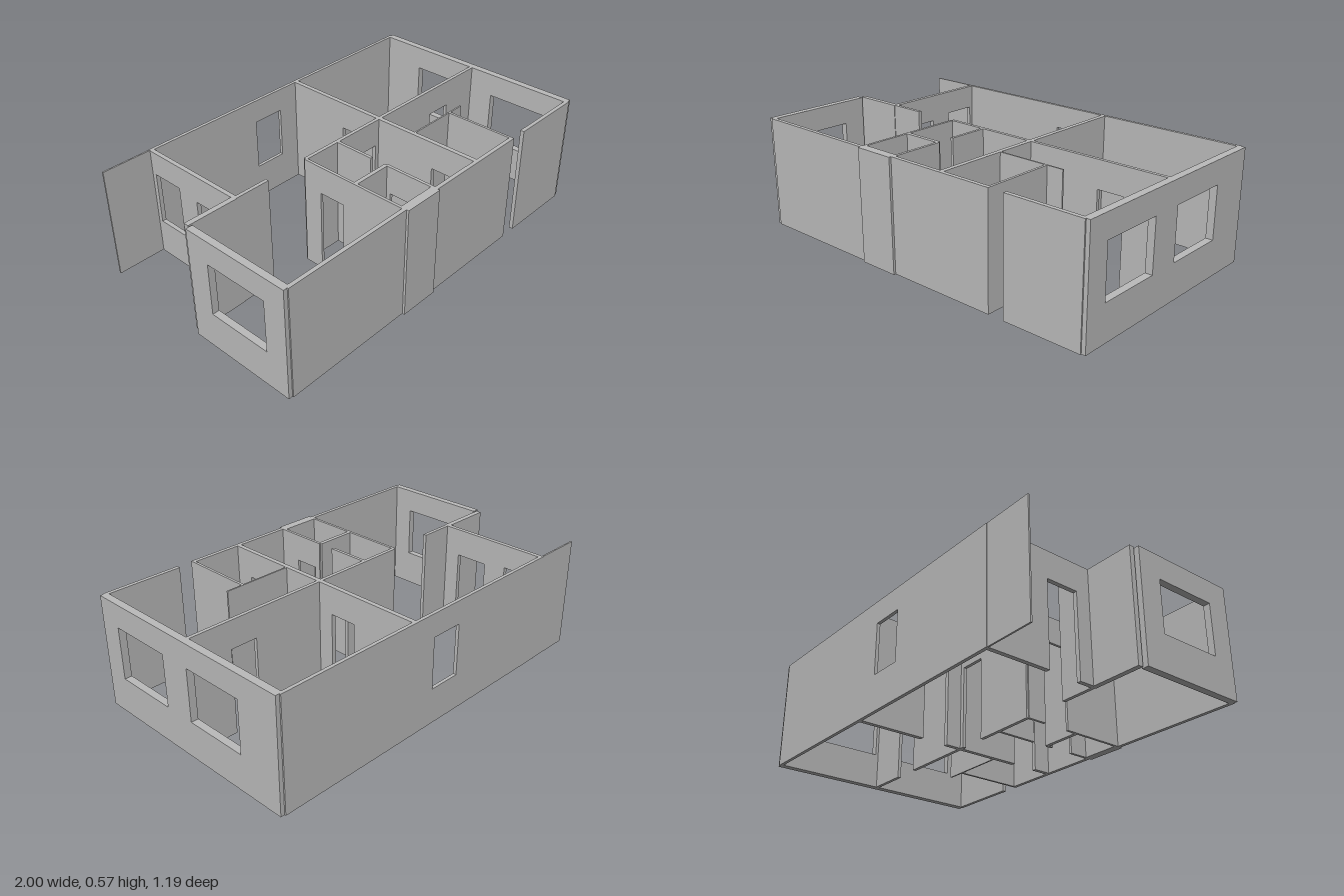
import * as THREE from 'three';

const HEIGHT = 0.57, DOOR = 0.43, SILL = 0.185, HEAD = 0.45;
const door = (a, b) => ({ a, b, y0: 0, y1: DOOR });
const window_ = (a, b) => ({ a, b, y0: SILL, y1: HEAD });

// Wall elevation from a to b: doors notch the bottom edge, windows are holes
function wallShape(a, b, openings) {
  const shape = new THREE.Shape();
  shape.moveTo(a, 0);
  for (const o of openings.filter((o) => o.y0 === 0).sort((p, q) => p.a - q.a)) {
    shape.lineTo(o.a, 0);
    shape.lineTo(o.a, o.y1);
    shape.lineTo(o.b, o.y1);
    shape.lineTo(o.b, 0);
  }
  shape.lineTo(b, 0);
  shape.lineTo(b, HEIGHT);
  shape.lineTo(a, HEIGHT);
  shape.closePath();
  for (const o of openings.filter((o) => o.y0 > 0)) {
    const hole = new THREE.Path();
    hole.moveTo(o.a, o.y0);
    hole.lineTo(o.a, o.y1);
    hole.lineTo(o.b, o.y1);
    hole.lineTo(o.b, o.y0);
    hole.closePath();
    shape.holes.push(hole);
  }
  return shape;
}

export function createModel() {
  const house = new THREE.Group();
  house.name = 'floorPlanWalls';
  const plaster = new THREE.MeshStandardMaterial({ color: 0xbbbbbb });
  plaster.name = 'grey plaster';

  // Wall filling the plan rectangle; openings are measured along its long side
  function wall(name, x0, x1, z0, z1, openings = []) {
    const alongX = x1 - x0 > z1 - z0;
    const [a, b, depth] = alongX ? [x0, x1, z1 - z0] : [z0, z1, x1 - x0];
    const geometry = new THREE.ExtrudeGeometry(wallShape(a, b, openings), { depth, bevelEnabled: false });
    if (alongX) geometry.translate(0, 0, z0);
    else geometry.rotateY(-Math.PI / 2).translate(x1, 0, 0);
    const mesh = new THREE.Mesh(geometry, plaster);
    mesh.name = name;
    house.add(mesh);
  }

  // Outer walls
  wall('backWall', -0.725, 0.98, -0.597, -0.58, [window_(-0.08, 0.09)]);
  wall('balconyScreen', -0.98, -0.725, -0.595, -0.587);
  wall('eastWall', 0.963, 1, -0.59, 0.577, [window_(-0.36, -0.035), window_(0.13, 0.46)]);
  wall('westWall', -1, -0.965, 0.01, 0.577, [window_(0.13, 0.46)]);
  wall('balconyWall', -0.727, -0.705, -0.582, -0.02, [window_(-0.56, -0.39), door(-0.27, -0.1)]);
  wall('westReturn', -0.98, -0.715, 0.025 - 0.05, 0.001);
  wall('westStub', -0.715, -0.53, -0.02, -0.002);
  wall('frontWallWest', -0.98, -0.295, 0.563, 0.583);
  wall('frontWallBath', -0.295, -0.085, 0.55, 0.595);
  wall('frontWallMiddle', -0.085, 0.495, 0.563, 0.583);
  wall('frontWallEast', 0.577, 0.98, 0.563, 0.583);

  // Inner walls
  wall('corridorWall', -0.295, 0.965, -0.02, -0.002, [door(0.04, 0.18), door(0.61, 0.75)]);
  wall('bedroomDivider', 0.202, 0.225, -0.582, -0.018, [door(-0.24, -0.1)]);
  wall('kitchenDivider', 0.202, 0.225, -0.004, 0.565, [door(0.33, 0.47)]);
  wall('bathWestWall', -0.301, -0.287, -0.01, 0.565, [door(0.09, 0.23)]);
  wall('bathEastWallBack', -0.092, -0.077, -0.004, 0.205);
  wall('bathEastWallFront', -0.092, -0.077, 0.293, 0.565, [door(0.325, 0.45)]);
  wall('bathDivider', -0.295, -0.085, 0.282, 0.302);
  wall('entryScreen', 0.21, 0.58, 0.202, 0.21);
  wall('entrySideWall', 0.482, 0.495, 0.208, 0.565);

  return house;
}
